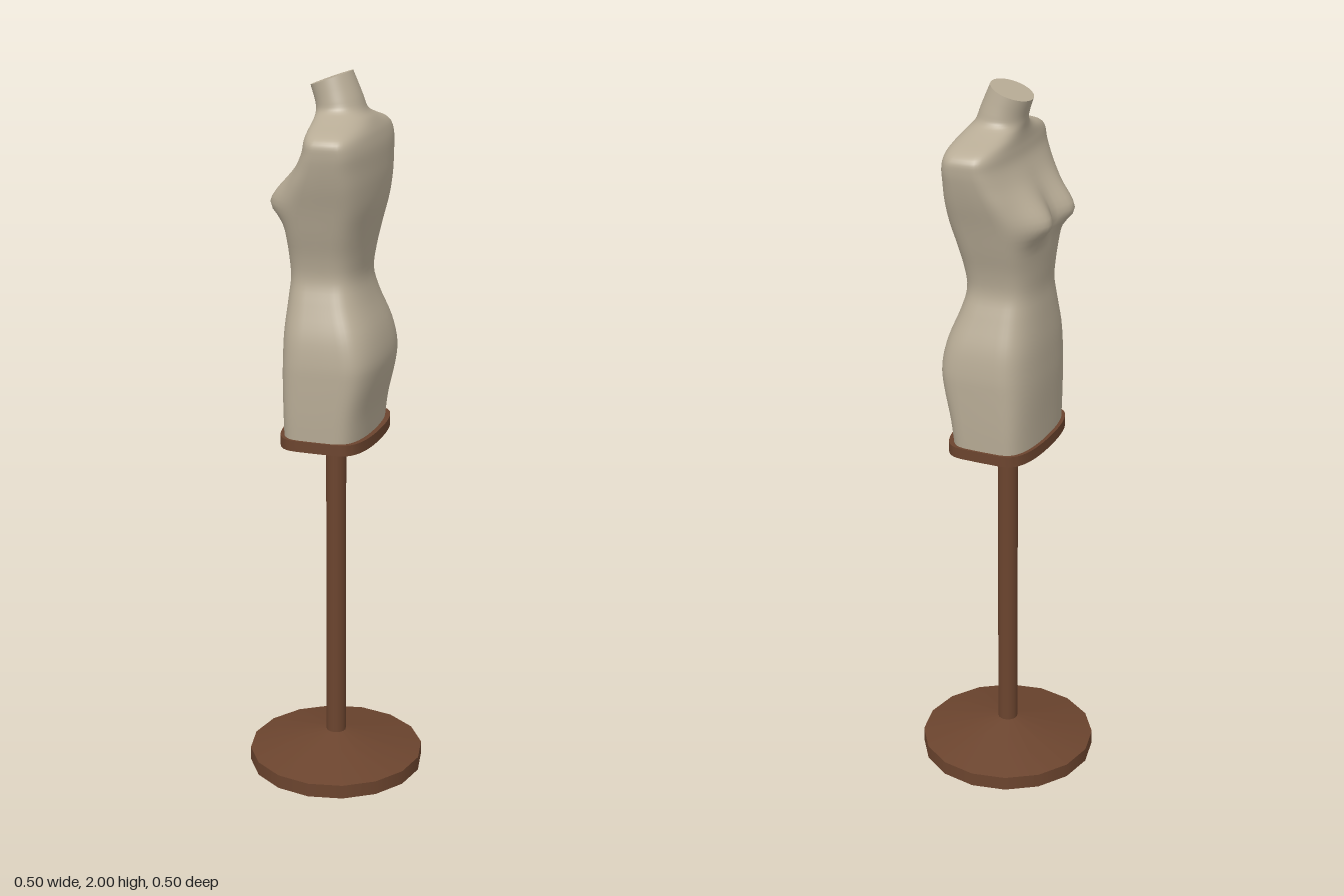
import * as THREE from 'three';
import { toCreasedNormals } from 'three/addons/utils/BufferGeometryUtils.js';

const SIDES = 64;

// Boxy oval outline: flat front (-x) and back (+x), bulging sides (z)
function outline(front, back, half, e) {
  const mid = (front + back) / 2, depth = (back - front) / 2;
  return Array.from({ length: SIDES }, (_, i) => {
    const a = (i / SIDES) * Math.PI * 2, c = Math.cos(a), s = Math.sin(a);
    const p = Math.abs(c) < 1e-9 ? 0 : Math.sign(c) * Math.abs(c) ** e;
    const q = Math.abs(s) < 1e-9 ? 0 : Math.sign(s) * Math.abs(s) ** (0.85 + 0.15 * e);
    return [mid + depth * p, half * q];
  });
}

// Torso levels: height, front x, back x, half width, roundness, tilt
const LEVELS = [
  [1.02, -0.12, 0.115, 0.175, 0.38, 0],
  [1.1, -0.122, 0.125, 0.179, 0.38, 0],
  [1.19, -0.125, 0.146, 0.181, 0.4, 0],
  [1.25, -0.125, 0.152, 0.18, 0.42, 0],
  [1.32, -0.123, 0.138, 0.17, 0.45, 0],
  [1.4, -0.116, 0.107, 0.145, 0.5, 0],
  [1.46, -0.111, 0.092, 0.128, 0.5, 0],
  [1.52, -0.115, 0.098, 0.135, 0.5, 0],
  [1.59, -0.12, 0.111, 0.155, 0.45, 0],
  [1.66, -0.118, 0.126, 0.175, 0.42, 0],
  [1.72, -0.098, 0.131, 0.194, 0.45, 0],
  [1.77, -0.074, 0.13, 0.207, 0.5, 0],
  [1.81, -0.056, 0.127, 0.214, 0.5, 0],
  [1.84, -0.05, 0.12, 0.212, 0.52, 0],
  [1.86, -0.048, 0.112, 0.186, 0.6, 0],
  [1.88, -0.048, 0.1, 0.125, 0.75, 0],
  [1.9, -0.05, 0.082, 0.08, 0.9, 0.03],
  [1.93, -0.054, 0.069, 0.07, 1, 0.14],
  [1.98, -0.067, 0.043, 0.062, 1, 0.36],
];

function torsoGeometry() {
  const sizes = new THREE.CatmullRomCurve3(
    LEVELS.map((l) => new THREE.Vector3(l[1], l[2], l[3])), false, 'catmullrom');
  const rests = new THREE.CatmullRomCurve3(
    LEVELS.map((l) => new THREE.Vector3(l[0], l[4], l[5])), false, 'catmullrom');
  const rows = (LEVELS.length - 1) * 4, pos = [], index = [];
  for (let j = 0; j <= rows; j++) {
    const s = sizes.getPoint(j / rows), r = rests.getPoint(j / rows);
    const mid = (s.x + s.y) / 2;
    for (const [x, z] of outline(s.x, s.y, s.z, r.y)) {
      // Bust: two bumps on the front half
      const dy = r.x - 1.66, spread = dy > 0 ? 0.07 : 0.04;
      const lift = Math.exp(-((dy / spread) ** 2) - ((Math.abs(z) - 0.08) / 0.06) ** 2);
      const facing = THREE.MathUtils.smoothstep((mid - x) / (mid - s.x), 0, 0.9);
      pos.push(x - 0.043 * lift * facing, r.x + r.z * (x - mid), z);
    }
  }
  for (let j = 0; j < rows; j++) {
    for (let i = 0; i < SIDES; i++) {
      const k = (i + 1) % SIDES, a = j * SIDES + i, b = j * SIDES + k;
      index.push(a, a + SIDES, b, b, a + SIDES, b + SIDES);
    }
  }
  // Flat slanted neck cap with its own corners
  const ring = pos.slice(-SIDES * 3), start = pos.length / 3;
  pos.push(...ring, -0.012, 1.98, 0);
  for (let i = 0; i < SIDES; i++) {
    index.push(start + SIDES, start + ((i + 1) % SIDES), start + i);
  }
  const g = new THREE.BufferGeometry();
  g.setAttribute('position', new THREE.Float32BufferAttribute(pos, 3));
  g.setIndex(index);
  g.computeVertexNormals();
  return g;
}

export function createModel() {
  const group = new THREE.Group();
  const fabric = new THREE.MeshStandardMaterial({ color: 0xb8ac96 });
  fabric.name = 'beige fabric';
  const wood = new THREE.MeshStandardMaterial({ color: 0x6b442e });
  wood.name = 'brown wood';

  const add = (name, geometry, material, y = 0) => {
    const mesh = new THREE.Mesh(geometry, material);
    mesh.name = name;
    mesh.position.y = y;
    group.add(mesh);
  };

  add('torso', torsoGeometry(), fabric);

  // Board under the hips
  const shape = new THREE.Shape(
    outline(-0.13, 0.13, 0.182, 0.36).map(([x, z]) => new THREE.Vector2(x, z)));
  const board = new THREE.ExtrudeGeometry(shape, { depth: 0.03, bevelEnabled: false });
  board.rotateX(-Math.PI / 2);
  add('hipBoard', toCreasedNormals(board, 0.6), wood, 1);

  // Stand
  add('pole', new THREE.CylinderGeometry(0.028, 0.028, 0.94, 16), wood, 0.54);
  add('baseSlope', new THREE.CylinderGeometry(0.028, 0.249, 0.053, 16), wood, 0.0665);
  add('baseRim', new THREE.CylinderGeometry(0.249, 0.249, 0.04, 16), wood, 0.02);

  return group;
}
